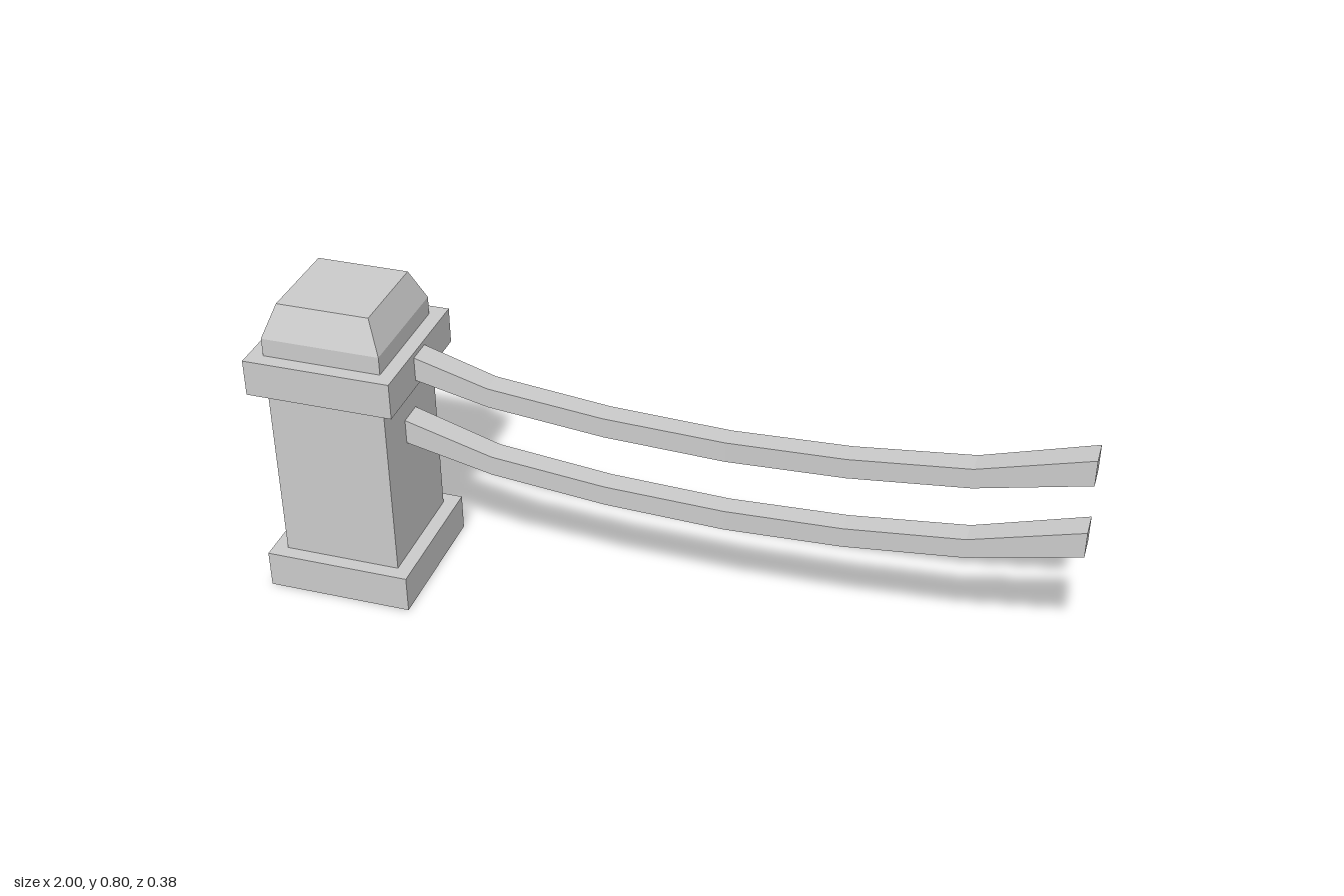
import * as THREE from 'three';

const material = new THREE.MeshStandardMaterial({ color: 0xcccccc, flatShading: true });
const POST_X = -0.812;

function addMesh(parent, name, geometry) {
  const mesh = new THREE.Mesh(geometry, material);
  mesh.name = name;
  parent.add(mesh);
  return mesh;
}

// Square block between two heights; a smaller top half-width makes it taper.
function addBlock(parent, name, y0, y1, half, topHalf = half) {
  const geometry = new THREE.CylinderGeometry(topHalf * Math.SQRT2, half * Math.SQRT2, y1 - y0, 4);
  geometry.rotateY(Math.PI / 4);
  geometry.translate(POST_X, (y0 + y1) / 2, 0);
  return addMesh(parent, name, geometry);
}

// Sagging rail: [x, bottom, top, half-width] at each cross-section
const SECTIONS = [
  [-0.70, 0.608, 0.675, 0.034],
  [-0.44, 0.545, 0.597, 0.030],
  [-0.15, 0.514, 0.566, 0.029],
  [0.15, 0.502, 0.555, 0.028],
  [0.44, 0.514, 0.566, 0.029],
  [0.73, 0.545, 0.597, 0.030],
  [1.00, 0.608, 0.675, 0.034],
];

function railGeometry() {
  const last = SECTIONS.length - 1;
  const geometry = new THREE.BoxGeometry(last, 1, 1, last, 1, 1);
  const p = geometry.attributes.position;
  for (let i = 0; i < p.count; i++) {
    const [x, bottom, top, half] = SECTIONS[Math.round(p.getX(i) + last / 2)];
    p.setXYZ(i, x, p.getY(i) > 0 ? top : bottom, 0.004 + Math.sign(p.getZ(i)) * half);
  }
  geometry.computeVertexNormals();
  return geometry;
}

export function createModel() {
  const group = new THREE.Group();
  group.name = 'fencePostWithRails';

  // Stone post
  const post = new THREE.Group();
  post.name = 'post';
  group.add(post);
  addBlock(post, 'base', 0, 0.097, 0.188);
  addBlock(post, 'shaft', 0.097, 0.571, 0.151);
  addBlock(post, 'collar', 0.571, 0.665, 0.188);
  addBlock(post, 'capBlock', 0.665, 0.712, 0.151);
  addBlock(post, 'capBevel', 0.712, 0.795, 0.151, 0.118);

  // Two identical rails, one above the other
  const rail = railGeometry();
  addMesh(group, 'upperRail', rail);
  addMesh(group, 'lowerRail', rail).position.y = -0.196;

  return group;
}
